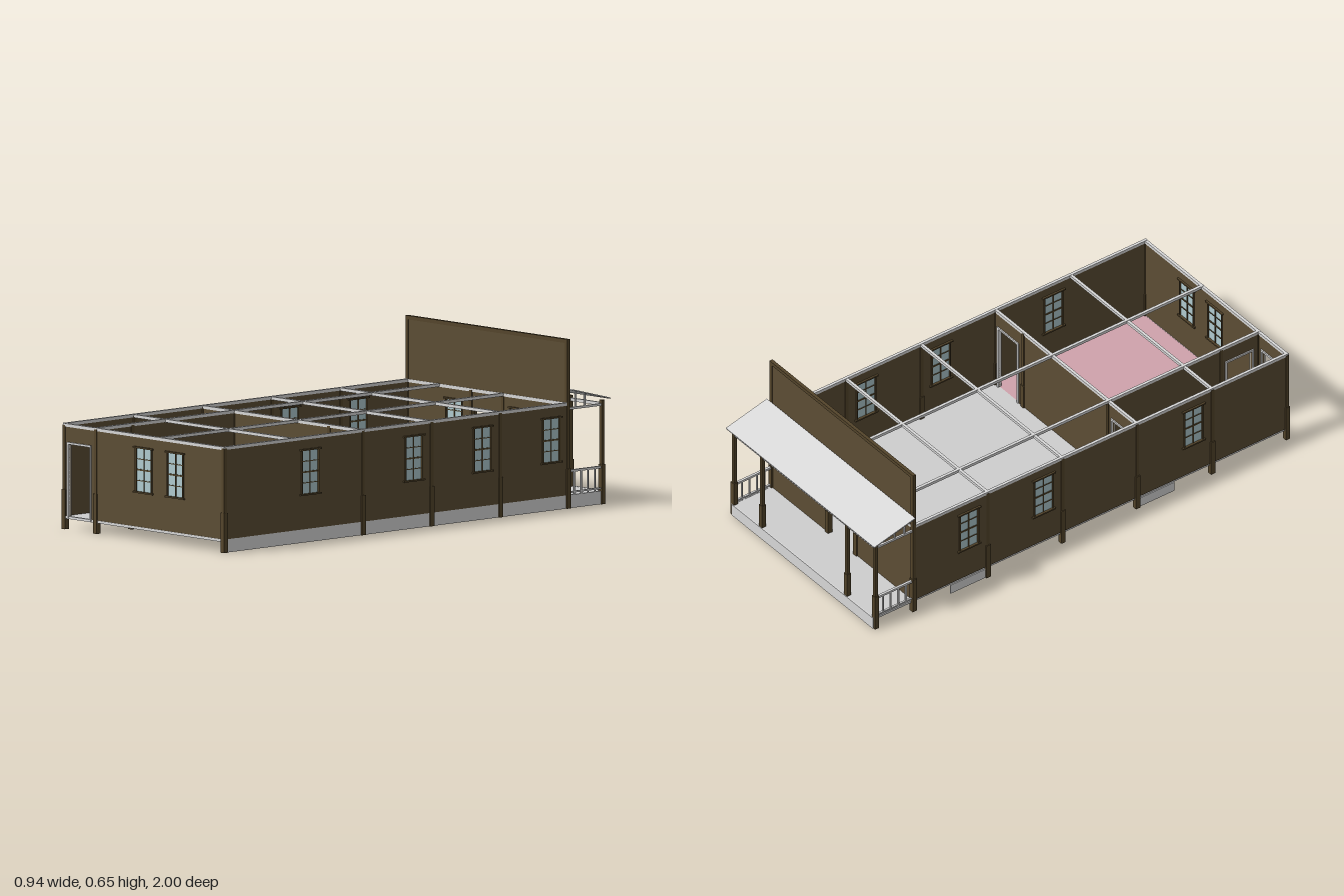
import * as THREE from 'three';

const mat = (name, color) => {
  const m = new THREE.MeshStandardMaterial({ color });
  m.name = name;
  return m;
};

export function createModel() {
  const brown = mat('brown boards', 0x5c4d34);
  const darkBrown = mat('dark brown timber', 0x54452b);
  const white = mat('white trim', 0xd8d8d8);
  const pale = mat('pale floor', 0xcfcfcf);
  const pink = mat('pink floor', 0xd0a3ac);
  const glass = mat('pale blue glass', 0xb0cbcf);
  const model = new THREE.Group();
  model.name = 'building';

  const X0 = -0.445, X1 = 0.445, BACK = -0.795, FRONT = 0.985, PORCH = -0.975;
  const XS = [X0, -0.268, 0.088, X1];
  const ZS = [FRONT, 0.628, 0.27, -0.086, -0.443, BACK];
  const FLOOR = 0.05, TOP = 0.4;

  // Box given by its minimum and maximum corners
  function box(parent, name, material, x0, x1, y0, y1, z0, z1) {
    const m = new THREE.Mesh(new THREE.BoxGeometry(x1 - x0, y1 - y0, z1 - z0), material);
    m.position.set((x0 + x1) / 2, (y0 + y1) / 2, (z0 + z1) / 2);
    m.name = name;
    parent.add(m);
    return m;
  }

  // Slender post with a thicker lower part
  function post(x, z, top = TOP, name = 'post') {
    const g = new THREE.Group();
    g.name = name;
    box(g, 'postFoot', darkBrown, x - 0.01, x + 0.01, 0, 0.153, z - 0.01, z + 0.01);
    box(g, 'postShaft', darkBrown, x - 0.007, x + 0.007, 0.153, top, z - 0.007, z + 0.007);
    model.add(g);
  }

  // Two-by-four pane window, centred on u along its wall
  function addWindow(wall, u) {
    const g = new THREE.Group();
    g.name = 'window';
    const y0 = 0.187, y1 = 0.353, h = 0.044;
    box(g, 'pane', glass, u - h, u + h, y0, y1, -0.002, 0.002);
    for (const s of [-1, 1]) {
      box(g, 'sideFrame', darkBrown, u + s * h - 0.003, u + s * h + 0.003, y0, y1, -0.008, 0.008);
    }
    box(g, 'windowSill', darkBrown, u - 0.054, u + 0.054, y0 - 0.006, y0, -0.012, 0.012);
    box(g, 'windowHead', darkBrown, u - 0.054, u + 0.054, y1, y1 + 0.006, -0.012, 0.012);
    box(g, 'mullion', darkBrown, u - 0.002, u + 0.002, y0, y1, -0.005, 0.005);
    for (const i of [1, 2, 3]) {
      const y = y0 + (y1 - y0) * i / 4, t = i === 2 ? 0.003 : 0.0015;
      box(g, 'glazingBar', darkBrown, u - h, u + h, y - t, y + t, -0.005, 0.005);
    }
    wall.add(g);
  }

  // White frame around a doorway
  function addDoorFrame(wall, a, b, top) {
    const t = 0.008;
    box(wall, 'doorJamb', white, a - t, a, 0.045, top + t, -0.009, 0.009);
    box(wall, 'doorJamb', white, b, b + t, 0.045, top + t, -0.009, 0.009);
    box(wall, 'doorLintel', white, a, b, top, top + t, -0.009, 0.009);
  }

  // Wall from a to b along x (or along z), with windows and doorways cut out
  function wall(name, along, at, a, b, { windows = [], doors = [], top = TOP, framed = true } = {}) {
    const g = new THREE.Group();
    g.name = name;
    const s = new THREE.Shape();
    s.moveTo(a, FLOOR);
    for (const [d0, d1] of doors) {
      s.lineTo(d0, FLOOR);
      s.lineTo(d0, 0.328);
      s.lineTo(d1, 0.328);
      s.lineTo(d1, FLOOR);
    }
    s.lineTo(b, FLOOR);
    s.lineTo(b, top);
    s.lineTo(a, top);
    s.closePath();
    for (const u of windows) {
      const p = new THREE.Path();
      p.moveTo(u - 0.044, 0.187);
      p.lineTo(u - 0.044, 0.353);
      p.lineTo(u + 0.044, 0.353);
      p.lineTo(u + 0.044, 0.187);
      p.closePath();
      s.holes.push(p);
    }
    const geo = new THREE.ExtrudeGeometry(s, { depth: 0.008, bevelEnabled: false });
    geo.translate(0, 0, -0.004);
    const boards = new THREE.Mesh(geo, brown);
    boards.name = 'wallBoards';
    g.add(boards);
    windows.forEach((u) => addWindow(g, u));
    if (framed) doors.forEach(([d0, d1]) => addDoorFrame(g, d0, d1, 0.328));
    if (along === 'x') {
      g.position.z = at;
    } else {
      g.position.x = at;
      g.rotation.y = -Math.PI / 2;
    }
    model.add(g);
  }

  // Floors: pale hall, corridor and porch, with a pink front room
  const xm = XS[1], zm = ZS[2];
  box(model, 'hallFloor', pale, X0, X1, 0.04, FLOOR, -0.985, zm);
  box(model, 'corridorFloor', pale, X0, xm, 0.04, FLOOR, zm, FRONT);
  box(model, 'frontRoomFloor', pink, xm, X1, 0.04, FLOOR, zm, FRONT);
  box(model, 'frontSill', white, X0, X1, 0.041, 0.051, FRONT - 0.005, FRONT + 0.006);

  // Skirting under the floor edges
  box(model, 'sideSkirt', white, X1 - 0.002, X1 + 0.004, 0, 0.051, -0.985, FRONT);
  box(model, 'porchSkirt', white, X0, X1, 0, 0.051, -0.988, -0.982);
  for (const [z0, z1] of [[0.27, 0.448], [-0.62, -0.443]]) {
    box(model, 'skirtPanel', white, X0 - 0.004, X0 + 0.001, 0, 0.04, z0, z1);
  }

  // Outer walls
  wall('frontWall', 'x', FRONT, X0, X1, { windows: [0, 0.177], doors: [[-0.418, -0.3]] });
  wall('leftWall', 'z', X1, BACK, FRONT, { windows: [-0.707, -0.35, 0.006, 0.543] });
  wall('rightWall', 'z', X0, BACK, FRONT, { windows: [-0.533, -0.177, 0.538] });
  wall('backWall', 'x', BACK, X0, X1,
    { windows: [-0.183, 0.177], doors: [[-0.085, 0.085]], top: 0.64, framed: false });
  box(model, 'parapetCap', darkBrown, X0, X1, 0.635, 0.65, BACK - 0.007, BACK + 0.007);

  // Inner walls of the front room and corridor
  wall('roomWall', 'x', zm, X0, X1, { doors: [[-0.418, -0.3], [0.3, 0.418]] });
  wall('corridorWall', 'z', xm, zm, FRONT, { doors: [[0.83, 0.95]] });

  // Posts
  for (const z of ZS) {
    const top = z === BACK ? 0.65 : TOP;
    post(X0, z, top);
    if (z !== ZS[1]) post(X1, z, top);
  }
  for (const [x, z] of [[xm, FRONT], [xm, zm], [xm, 0.803], [0.265, zm], [-0.089, BACK], [0.089, BACK]]) {
    post(x, z);
  }
  for (const x of [X0, -0.268, 0.268, X1]) post(x, PORCH, TOP, 'porchPost');

  // Open ceiling grid of beams
  for (const x of XS) box(model, 'longBeam', white, x - 0.006, x + 0.006, 0.395, 0.407, BACK, FRONT + 0.006);
  for (const z of ZS) box(model, 'crossBeam', white, X0, X1, 0.394, 0.406, z - 0.006, z + 0.006);

  // Sloping porch roof
  const rise = 0.05, run = 0.196;
  const roof = box(model, 'porchRoof', white, -0.468, 0.468, -0.0025, 0.0025,
    -Math.hypot(rise, run) / 2, Math.hypot(rise, run) / 2);
  roof.position.set(0, 0.431, -0.9);
  roof.rotation.x = -Math.atan2(rise, run);

  // Porch framing under the roof
  box(model, 'porchBeam', white, X0, X1, 0.378, 0.39, PORCH - 0.005, PORCH + 0.005);
  for (const x of [X0, -0.268, 0.268, X1]) {
    box(model, 'porchJoist', white, x - 0.004, x + 0.004, 0.378, 0.387, PORCH, BACK);
    for (const [z, y] of [[-0.838, 0.442], [-0.885, 0.43]]) {
      box(model, 'roofStrut', white, x - 0.003, x + 0.003, 0.387, y, z - 0.003, z + 0.003);
    }
  }

  // Porch side railings
  for (const x of [X0, X1]) {
    const g = new THREE.Group();
    g.name = 'railing';
    box(g, 'topRail', white, x - 0.005, x + 0.005, 0.138, 0.147, PORCH, BACK);
    box(g, 'bottomRail', white, x - 0.004, x + 0.004, 0.058, 0.064, PORCH, BACK);
    for (let i = 1; i <= 4; i++) {
      const z = BACK + (PORCH - BACK) * i / 5;
      box(g, 'baluster', white, x - 0.003, x + 0.003, 0.05, 0.138, z - 0.003, z + 0.003);
    }
    model.add(g);
  }

  return model;
}
